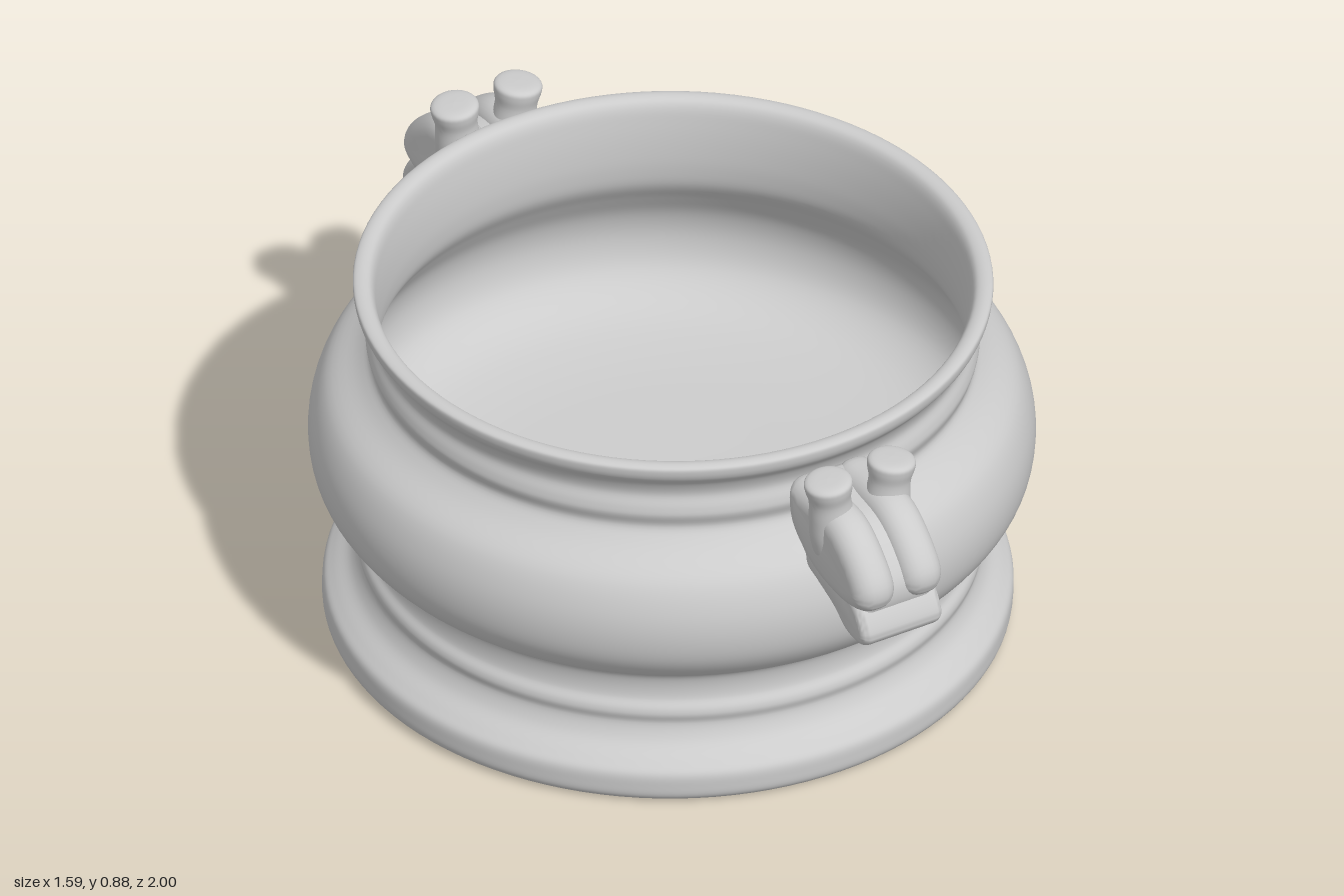
import * as THREE from 'three';
import { toCreasedNormals } from 'three/addons/utils/BufferGeometryUtils.js';

const material = new THREE.MeshStandardMaterial({ color: 0xcccccc });

function addMesh(parent, name, geometry) {
  const mesh = new THREE.Mesh(geometry, material);
  mesh.name = name;
  parent.add(mesh);
  return mesh;
}

// Smooth profile of [radius, y] points turned round the y axis
function turned(points, samples, segments) {
  const curve = new THREE.CatmullRomCurve3(points.map(([r, y]) => new THREE.Vector3(r, y, 0)));
  const profile = curve.getPoints(samples).map((p) => new THREE.Vector2(Math.max(p.x, 0), p.y));
  return new THREE.LatheGeometry(profile, segments);
}

// Side outline of [z, y] points, given a rounded thickness along x
function slab(points, centreX, width, bevel) {
  const outline = new THREE.CatmullRomCurve3(
    points.map(([z, y]) => new THREE.Vector3(z, y, 0)), true);
  const shape = new THREE.Shape(
    outline.getPoints(48).slice(0, -1).map((p) => new THREE.Vector2(p.x, p.y)));
  const geometry = new THREE.ExtrudeGeometry(shape, {
    depth: width - 2 * bevel, bevelThickness: bevel, bevelSize: bevel,
    bevelOffset: -bevel, bevelSegments: 6,
  });
  geometry.translate(0, 0, -(width - 2 * bevel) / 2);
  geometry.rotateY(-Math.PI / 2);
  geometry.translate(centreX, 0, 0);
  return toCreasedNormals(geometry, 0.8);
}

// Animal-head handle facing +z
function createHandle() {
  const handle = new THREE.Group();

  // Full-width head, reaching into the bowl wall
  addMesh(handle, 'head', slab([
    [0.665, 0.765], [0.76, 0.76], [0.86, 0.75], [0.93, 0.705], [0.975, 0.645],
    [0.972, 0.585], [0.92, 0.535], [0.85, 0.55], [0.75, 0.575], [0.67, 0.65],
  ], 0, 0.19, 0.03));

  // Lower jaw with projecting lip
  addMesh(handle, 'jaw', slab([
    [0.74, 0.67], [0.86, 0.66], [0.95, 0.62], [0.99, 0.575], [1.0, 0.54],
    [0.975, 0.513], [0.91, 0.515], [0.86, 0.545], [0.79, 0.57], [0.74, 0.59],
  ], 0, 0.205, 0.022));

  for (const side of [-1, 1]) {
    // Snout lobe running from brow to nose
    addMesh(handle, 'snoutLobe', slab([
      [0.665, 0.77], [0.73, 0.782], [0.86, 0.782], [0.945, 0.73], [0.997, 0.665],
      [0.995, 0.62], [0.95, 0.588], [0.86, 0.58], [0.76, 0.6], [0.67, 0.67],
    ], side * 0.06, 0.1, 0.044));

    // Stubby horn with a flat tip, swelling into the lobe below
    const horn = addMesh(handle, 'horn', turned([
      [0, -0.12], [0.04, -0.11], [0.052, -0.06], [0.05, 0], [0.047, 0.045],
      [0.053, 0.075], [0.053, 0.09], [0.043, 0.097], [0, 0.1],
    ], 40, 28));
    horn.position.set(side * 0.072, 0.757, 0.803);
    horn.rotation.z = -side * 0.1;
  }
  return handle;
}

export function createModel() {
  const model = new THREE.Group();

  // Bowl and hollow foot as one closed profile: underside, outside, rim, inside
  const bowl = turned([
    [0, 0.21], [0.3, 0.21], [0.55, 0.205], [0.615, 0.19], [0.64, 0.14],
    [0.68, 0.08], [0.7, 0.02], [0.715, 0.002], [0.742, 0.002], [0.754, 0.015],
    [0.757, 0.04], [0.754, 0.07], [0.735, 0.09], [0.7, 0.12], [0.684, 0.155],
    [0.688, 0.178], [0.685, 0.192], [0.673, 0.212], [0.671, 0.25], [0.681, 0.278],
    [0.745, 0.327], [0.785, 0.385], [0.797, 0.45], [0.788, 0.52], [0.757, 0.585],
    [0.69, 0.638], [0.665, 0.67], [0.673, 0.705], [0.67, 0.725], [0.661, 0.755],
    [0.672, 0.79], [0.695, 0.82], [0.701, 0.838], [0.7, 0.852], [0.685, 0.857],
    [0.667, 0.852], [0.657, 0.838], [0.649, 0.8], [0.643, 0.74], [0.643, 0.68],
    [0.652, 0.63], [0.688, 0.57], [0.725, 0.5], [0.733, 0.43], [0.71, 0.36],
    [0.64, 0.305], [0.5, 0.275], [0.25, 0.265], [0, 0.262],
  ], 240, 112);

  // The foot sits slightly off centre
  const position = bowl.attributes.position;
  for (let i = 0; i < position.count; i++) {
    const shift = Math.max(0, 1 - position.getY(i) / 0.25);
    position.setX(i, position.getX(i) - 0.015 * shift);
    position.setZ(i, position.getZ(i) + 0.01 * shift);
  }
  addMesh(model, 'bowl', bowl);

  // Matching handles at front and back
  for (const [name, turn] of [['frontHandle', 0], ['backHandle', Math.PI]]) {
    const handle = createHandle();
    handle.name = name;
    handle.rotation.y = turn;
    model.add(handle);
  }

  // Slight lean of the hand-made vessel
  model.name = 'vessel';
  model.rotation.x = 0.012;
  model.position.set(0, 0.008, -0.006);
  const root = new THREE.Group();
  root.add(model);
  return root;
}
